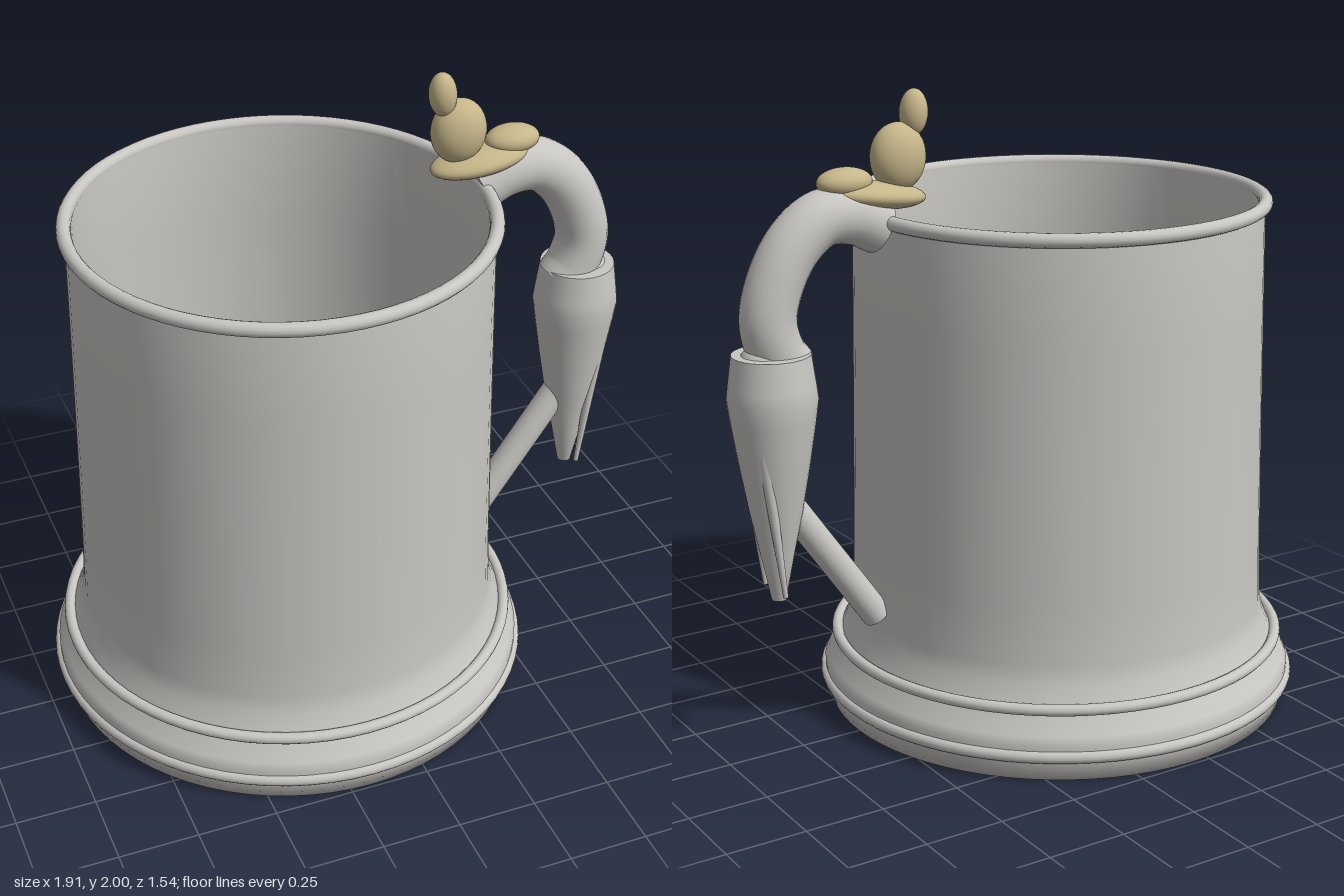
import * as THREE from 'three';

const pewter = new THREE.MeshStandardMaterial({ color: 0xc8c6c2 });
pewter.name = 'pewter';
const brass = new THREE.MeshStandardMaterial({ color: 0xc6b68a });
brass.name = 'brass';

const v3 = (x, y, z = 0) => new THREE.Vector3(x, y, z);

function add(parent, name, geometry, material, x = 0, y = 0, z = 0) {
  const mesh = new THREE.Mesh(geometry, material);
  mesh.name = name;
  mesh.position.set(x, y, z);
  parent.add(mesh);
  return mesh;
}

function lathe(points, segments) {
  return new THREE.LatheGeometry(points.map(([r, y]) => new THREE.Vector2(r, y)), segments);
}

// Round bar between two points, optionally tapered
function bar(parent, name, a, b, rA, rB, sides = 24) {
  const mesh = add(parent, name, new THREE.CylinderGeometry(rB, rA, a.distanceTo(b), sides), pewter);
  mesh.position.copy(a).lerp(b, 0.5);
  mesh.quaternion.setFromUnitVectors(v3(0, 1), b.clone().sub(a).normalize());
  return mesh;
}

function ellipsoid(parent, name, x, y, rx, ry, rz, tilt = 0) {
  const mesh = add(parent, name, new THREE.SphereGeometry(1, 32, 20), brass, x, y);
  mesh.scale.set(rx, ry, rz);
  mesh.rotation.z = tilt;
  return mesh;
}

export function createModel() {
  const model = new THREE.Group();
  model.name = 'tankard';

  // Vessel: closed foot, tapered wall, hollow inside
  const vessel = new THREE.Group();
  vessel.name = 'vessel';
  vessel.position.x = -0.185;
  model.add(vessel);
  add(vessel, 'body', lathe([
    [0, 0], [0.74, 0], [0.757, 0.06], [0.757, 0.115], [0.745, 0.14], [0.712, 0.185],
    [0.705, 0.21], [0.692, 0.235], [0.675, 0.28], [0.662, 0.33], [0.657, 0.5],
    [0.65, 0.9], [0.644, 1.3], [0.64, 1.62], [0.618, 1.62], [0.62, 1.3],
    [0.63, 0.6], [0.63, 0.2], [0, 0.2],
  ], 72), pewter);

  // Foot mouldings and rolled lip
  for (const [name, radius, y, tube] of [
    ['lowerFootRing', 0.752, 0.08, 0.02],
    ['upperFootRing', 0.715, 0.215, 0.018],
    ['lip', 0.641, 1.622, 0.022],
  ]) {
    add(vessel, name, new THREE.TorusGeometry(radius, tube, 14, 72), pewter, 0, y).rotation.x = Math.PI / 2;
  }

  // Curved upper handle with flat ends
  const handle = new THREE.Group();
  handle.name = 'handle';
  model.add(handle);
  const curve = new THREE.CatmullRomCurve3([
    v3(0.455, 1.605), v3(0.54, 1.643), v3(0.645, 1.645), v3(0.735, 1.58),
    v3(0.8, 1.47), v3(0.825, 1.36), v3(0.8, 1.265), v3(0.765, 1.215),
  ]);
  add(handle, 'upperHandle', new THREE.TubeGeometry(curve, 48, 0.085, 24), pewter);
  for (const t of [0, 1]) {
    const p = curve.getPoint(t);
    const out = curve.getTangent(t).multiplyScalar(t ? 1 : -1);
    const cap = add(handle, 'handleEnd', new THREE.CircleGeometry(0.085, 24), pewter, p.x, p.y);
    cap.quaternion.setFromUnitVectors(v3(0, 0, 1), out);
  }

  // Tapered bud hanging from the handle
  add(handle, 'bud', lathe([
    [0, 0.5], [0.022, 0.5], [0.05, 0.64], [0.08, 0.78], [0.108, 0.94],
    [0.128, 1.07], [0.136, 1.13], [0.131, 1.17], [0.118, 1.265],
  ], 32), pewter, 0.818);
  add(handle, 'budTop', new THREE.CircleGeometry(0.118, 32), pewter, 0.818, 1.265).rotation.x = -Math.PI / 2;
  add(handle, 'budCollar', new THREE.SphereGeometry(0.085, 24, 16), pewter, 0.835, 1.222);

  // Slim petals along both sides of the bud
  for (const side of [-1, 1]) {
    bar(handle, 'petal', v3(0.828, 0.53, side * 0.067), v3(0.885, 1.0, side * 0.067), 0.008, 0.022, 12);
  }

  // Lower brace from the bud to the wall
  bar(handle, 'lowerBrace', v3(0.485, 0.378), v3(0.785, 0.805), 0.046, 0.046);

  // Thumbpiece built from rounded beads
  const thumbpiece = new THREE.Group();
  thumbpiece.name = 'thumbpiece';
  model.add(thumbpiece);
  ellipsoid(thumbpiece, 'thumbBase', 0.462, 1.697, 0.165, 0.042, 0.088, 0.12);
  ellipsoid(thumbpiece, 'thumbBack', 0.565, 1.745, 0.088, 0.044, 0.06);
  ellipsoid(thumbpiece, 'thumbBody', 0.385, 1.803, 0.089, 0.103, 0.066);
  ellipsoid(thumbpiece, 'thumbTip', 0.33, 1.93, 0.043, 0.07, 0.044, 0.05);

  return model;
}
